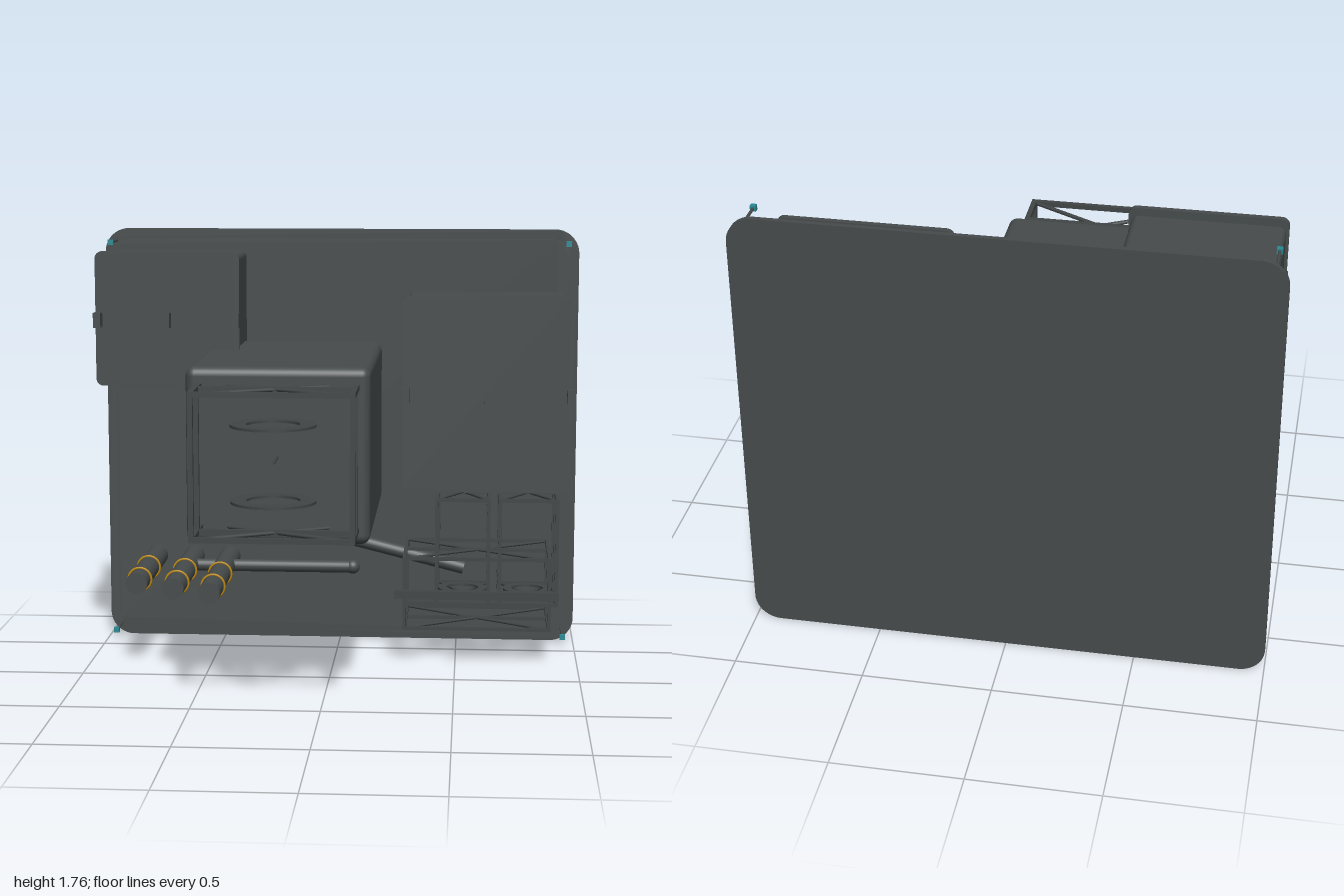
import * as THREE from 'three';
import { RoundedBoxGeometry } from 'three/addons/geometries/RoundedBoxGeometry.js';

export function createModel() {
  const root = new THREE.Group();
  const material = (name, color) => {
    const m = new THREE.MeshStandardMaterial({ color });
    m.name = name;
    return m;
  };
  const grey = material('dark slate', 0x464b4c);
  const frameGrey = material('frame grey', 0x414546);
  const gold = material('gold', 0xb8860b);
  const teal = material('teal', 0x2a8a94);

  const add = (name, geometry, mat, x = 0, y = 0, z = 0, parent = root) => {
    const m = new THREE.Mesh(geometry, mat);
    m.name = name;
    m.position.set(x, y, z);
    parent.add(m);
    return m;
  };
  const group = (name) => {
    const g = new THREE.Group();
    g.name = name;
    root.add(g);
    return g;
  };
  // Box given by its limits on each axis
  const block = (name, [x0, x1], [y0, y1], [z0, z1], r, mat = grey, parent = root) => {
    const w = x1 - x0, h = y1 - y0, d = z1 - z0;
    const g = r ? new RoundedBoxGeometry(w, h, d, 4, r) : new THREE.BoxGeometry(w, h, d);
    return add(name, g, mat, (x0 + x1) / 2, (y0 + y1) / 2, (z0 + z1) / 2, parent);
  };
  // Upright plate with rounded corners
  const plate = (name, x0, x1, y0, y1, z0, z1, r) => {
    const s = new THREE.Shape();
    s.moveTo(x0 + r, y0);
    s.lineTo(x1 - r, y0);
    s.absarc(x1 - r, y0 + r, r, -Math.PI / 2, 0);
    s.absarc(x1 - r, y1 - r, r, 0, Math.PI / 2);
    s.absarc(x0 + r, y1 - r, r, Math.PI / 2, Math.PI);
    s.absarc(x0 + r, y0 + r, r, Math.PI, Math.PI * 1.5);
    const g = new THREE.ExtrudeGeometry(s, { depth: z1 - z0, bevelEnabled: false, curveSegments: 10 });
    return add(name, g, grey, 0, 0, z0);
  };
  // Straight round rod between two points
  const rod = (name, a, b, r, mat = grey, parent = root, sides = 20) => {
    const p = new THREE.Vector3(...a), q = new THREE.Vector3(...b);
    const m = add(name, new THREE.CylinderGeometry(r, r, p.distanceTo(q), sides), mat, 0, 0, 0, parent);
    m.position.copy(p).add(q).multiplyScalar(0.5);
    m.quaternion.setFromUnitVectors(new THREE.Vector3(0, 1, 0), q.sub(p).normalize());
    return m;
  };
  // Flat horizontal ring
  const flatRing = (name, x, y, z, outer, inner, parent) => {
    const s = new THREE.Shape();
    s.absarc(0, 0, outer, 0, Math.PI * 2);
    const hole = new THREE.Path();
    hole.absarc(0, 0, inner, 0, Math.PI * 2, true);
    s.holes.push(hole);
    const g = new THREE.ExtrudeGeometry(s, { depth: 0.01, bevelEnabled: false, curveSegments: 24 });
    g.rotateX(-Math.PI / 2);
    add(name, g, frameGrey, x, y - 0.005, z, parent);
  };
  // Open cage of square bars with a middle frame and crossed top and bottom
  const cage = (name, [x0, x1], [y0, y1], [z0, z1], t, crossed) => {
    const g = group(name);
    const h = t / 2, zm = (z0 + z1) / 2;
    const xs = [x0 + h, x1 - h], ys = [y0 + h, y1 - h], zs = [z0 + h, zm, z1 - h];
    for (const z of zs) {
      for (const x of xs) block('cagePost', [x - h, x + h], [y0, y1], [z - h, z + h], 0, frameGrey, g);
      for (const y of ys) block('cageCrossBar', [x0, x1], [y - h, y + h], [z - h, z + h], 0, frameGrey, g);
    }
    for (const x of xs) for (const y of ys) {
      block('cageSideBar', [x - h, x + h], [y - h, y + h], [z0, z1], 0, frameGrey, g);
    }
    if (crossed) for (const y of ys) {
      rod('cageDiagonal', [xs[0], y, zs[0]], [xs[1], y, zs[2]], h * 0.8, frameGrey, g, 8);
      rod('cageDiagonal', [xs[1], y, zs[0]], [xs[0], y, zs[2]], h * 0.8, frameGrey, g, 8);
    }
    return g;
  };

  // Back plate with a smaller raised plate on it
  plate('backPlate', -1, 1, 0, 1.76, -0.71, -0.69, 0.1);
  plate('raisedPlate', -0.96, 0.96, 0.04, 1.72, -0.69, -0.67, 0.07);

  // Corner pins with teal tips
  for (const x of [-0.95, 0.95]) for (const y of [0.055, 1.71]) {
    rod('cornerPin', [x, y, -0.68], [x, y, -0.53], 0.006, grey, root, 10);
    add('cornerTip', new THREE.BoxGeometry(0.022, 0.022, 0.02), teal, x, y, -0.525);
  }

  // Main housing on a round flange, with ribs underneath
  block('mainHousing', [-0.52, 0.18], [0.62, 1.295], [-0.61, 0.39], 0.035);
  rod('housingFlange', [-0.17, 0.955, -0.68], [-0.17, 0.955, -0.6], 0.315, grey, root, 48);
  for (let i = 0; i < 6; i++) {
    const z = 0.195 - i * 0.133;
    block('bottomRib', [-0.48, 0.14], [0.605, 0.63], [z - 0.008, z + 0.008], 0, frameGrey);
    add('ribStud', new THREE.BoxGeometry(0.014, 0.01, 0.014), gold, -0.17, 0.604, z);
  }

  // Front cage with two flat rings and a pointer
  const front = cage('frontCage', [-0.475, 0.14], [0.675, 1.235], [0.315, 0.665], 0.02, true);
  for (const y of [0.815, 1.1]) flatRing('flatRing', -0.17, y, 0.55, 0.16, 0.1, front);
  rod('pointer', [-0.17, 0.955, 0.38], [-0.17, 0.955, 0.545], 0.005, frameGrey, front, 8);

  // Side cabinets with doors and three latches each
  const cabinet = (prefix, [x0, x1], [y0, y1], zFront, latchY) => {
    block(prefix + 'Cabinet', [x0 + 0.01, x1 - 0.015], [y0 + 0.01, y1 - 0.018], [-0.67, zFront - 0.025], 0.025);
    plate(prefix + 'Door', x0, x1, y0, y1, zFront - 0.022, zFront, 0.03);
    for (const x of [x0 + 0.013, (x0 + x1) / 2, x1 - 0.013]) {
      block(prefix + 'Latch', [x - 0.015, x + 0.015], [latchY - 0.03, latchY + 0.03],
        [zFront - 0.02, zFront + 0.05], 0);
    }
  };
  cabinet('right', [-0.965, -0.38], [1.145, 1.69], -0.225, 1.415);
  cabinet('left', [0.28, 0.967], [0.725, 1.52], -0.2, 1.12);

  // Three forward pipes with gold bands
  [[-0.79, -0.08, -0.17], [-0.63, 0.005, -0.12], [-0.475, 0.08, -0.06]].forEach(([x, end, band]) => {
    rod('forwardPipe', [x, 0.355, -0.68], [x, 0.355, end], 0.044, grey, root, 28);
    for (const z of [band, band - 0.24]) {
      add('pipeBand', new THREE.TorusGeometry(0.047, 0.005, 8, 32), gold, x, 0.355, z);
    }
  });

  // Jointed arm along the plate
  rod('lowerArm', [-0.63, 0.355, -0.48], [0.065, 0.355, -0.48], 0.026);
  add('elbow', new THREE.SphereGeometry(0.03, 20, 14), grey, 0.065, 0.355, -0.48);
  rod('upperArm', [0.06, 0.475, -0.48], [0.53, 0.358, -0.48], 0.027);

  // Lower left racks: two tall towers, a low cage and a front rail
  for (const [x0, x1] of [[0.415, 0.64], [0.672, 0.917]]) {
    const tower = cage('rackTower', [x0, x1], [0.25, 0.695], [-0.665, -0.228], 0.014, true);
    flatRing('rackRing', (x0 + x1) / 2, 0.3, -0.345, 0.1, 0.065, tower);
    flatRing('rackRing', (x0 + x1) / 2, 0.24, -0.455, 0.08, 0.05, tower);
  }
  cage('lowRack', [0.283, 0.89], [0.142, 0.447], [-0.665, -0.247], 0.014, true);
  block('rackRail', [0.25, 0.92], [0.28, 0.313], [-0.24, -0.205], 0, frameGrey);
  block('rackShelf', [0.3, 0.9], [0.25, 0.262], [-0.32, -0.24], 0, frameGrey);

  return root;
}
